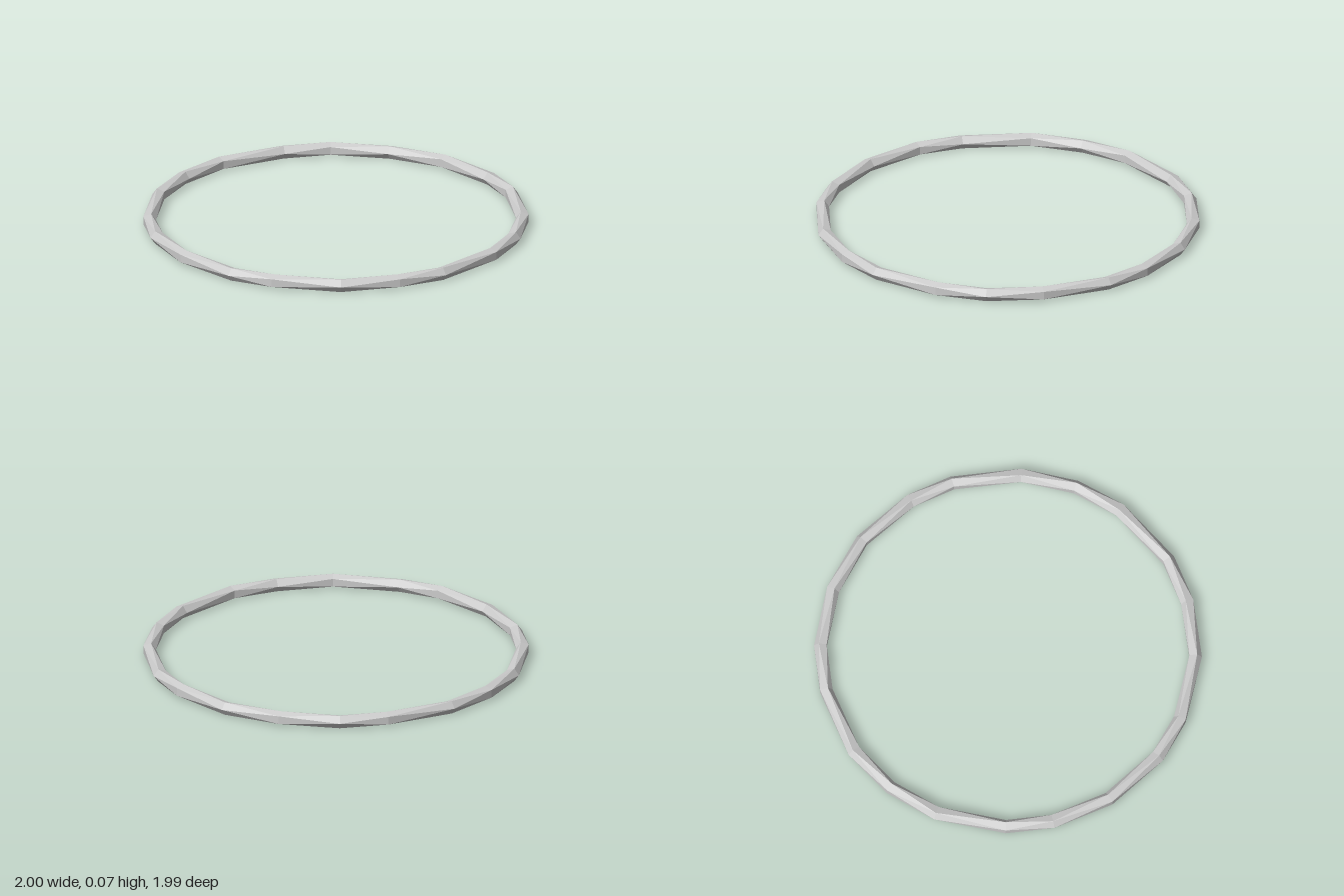
import * as THREE from 'three';

const STATIONS = 20;    // cross-sections around the hoop
const SIDES = 5;        // corners per cross-section
const RING_RADIUS = 0.964;
const TUBE_RADIUS = 0.036;

// Corner of a cross-section; each section is turned half a side from the last
function corner(i, j) {
  const k = i % STATIONS;
  const theta = (i + 0.12 * Math.sin(k * 2.3)) / STATIONS * Math.PI * 2;
  const phi = (j + i / 2) / SIDES * Math.PI * 2;
  const r = RING_RADIUS + TUBE_RADIUS * Math.cos(phi);
  const y = TUBE_RADIUS + TUBE_RADIUS * Math.sin(phi);
  return [r * Math.cos(theta), y, r * Math.sin(theta)];
}

// Closed faceted tube made of interlocking triangles
function twistedHoop() {
  const points = [];
  for (let i = 0; i < STATIONS; i++) {
    for (let j = 0; j < SIDES; j++) {
      const a = corner(i, j), b = corner(i, j + 1);
      const c = corner(i + 1, j), d = corner(i + 1, j + 1);
      points.push(...a, ...b, ...c, ...b, ...d, ...c);
    }
  }
  const geometry = new THREE.BufferGeometry();
  geometry.setAttribute('position', new THREE.Float32BufferAttribute(points, 3));
  geometry.computeVertexNormals();
  return geometry;
}

export function createModel() {
  const group = new THREE.Group();
  group.name = 'bangle';
  const material = new THREE.MeshStandardMaterial({ color: 0xcccccc, flatShading: true });
  const hoop = new THREE.Mesh(twistedHoop(), material);
  hoop.name = 'hoop';
  group.add(hoop);
  return group;
}
